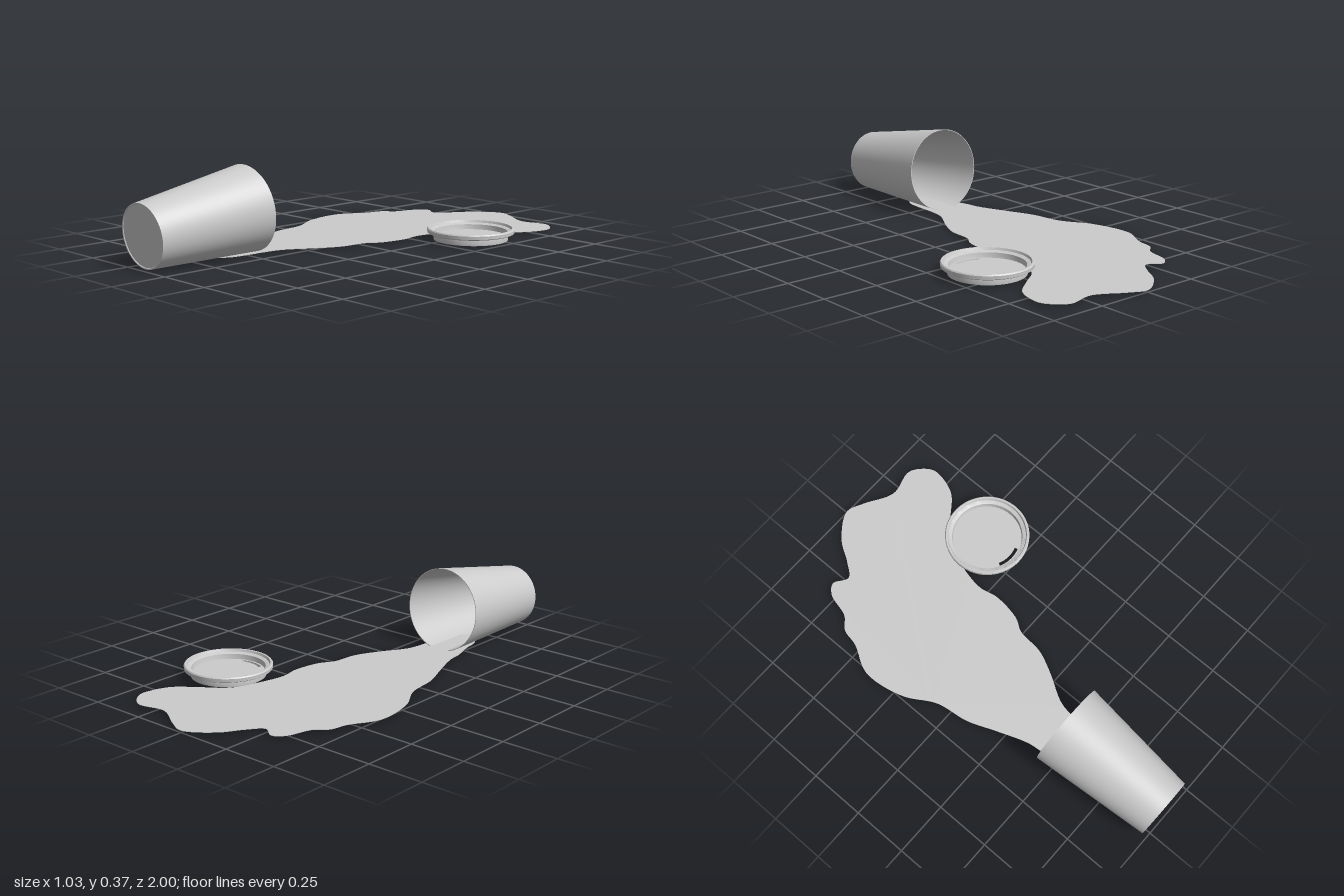
import * as THREE from 'three';
import { toCreasedNormals } from 'three/addons/utils/BufferGeometryUtils.js';

const grey = new THREE.MeshStandardMaterial({ color: 0xcccccc, side: THREE.DoubleSide });
const v2 = (list) => list.map(([x, y]) => new THREE.Vector2(x, y));

function add(parent, name, geometry) {
  const mesh = new THREE.Mesh(geometry, grey);
  mesh.name = name;
  parent.add(mesh);
  return mesh;
}

function lathe(profile) {
  return toCreasedNormals(new THREE.LatheGeometry(v2(profile), 64), 0.6);
}

// Flat shape laid on the ground plane: shape y becomes -z
function slab(shape, depth, curveSegments) {
  const geometry = new THREE.ExtrudeGeometry(shape, { depth, bevelEnabled: false, curveSegments });
  return toCreasedNormals(geometry.rotateX(-Math.PI / 2), 0.6);
}

export function createModel() {
  const model = new THREE.Group();
  model.name = 'spilledCup';

  // Thin-walled tapered cup lying on its side, mouth towards the back
  const cup = add(model, 'cup', lathe([
    [0, 0.004], [0.13, 0.003], [0.132, 0], [0.137, 0],
    [0.188, 0.541], [0.185, 0.541], [0.134, 0.007], [0, 0.007],
  ]));
  cup.position.set(-0.162, 0.139, 0.987);
  cup.rotation.x = -1.476;

  // Spilled liquid: wavy outline as x, z points, with a tongue under the cup
  const outline = [
    [-0.28, 0.42], [-0.29, 0.35], [-0.34, 0.21], [-0.39, 0.08], [-0.415, -0.07],
    [-0.49, -0.21], [-0.515, -0.4], [-0.45, -0.53], [-0.43, -0.61], [-0.38, -0.66],
    [-0.345, -0.77], [-0.3, -0.805], [-0.235, -0.77], [-0.18, -0.83], [-0.12, -0.92],
    [0, -1], [0.08, -0.97], [0.21, -0.9], [0.34, -0.92], [0.415, -0.85],
    [0.42, -0.8], [0.385, -0.7], [0.29, -0.62], [0.19, -0.54], [0.14, -0.4],
    [0.12, -0.29], [0.135, -0.2], [0.115, -0.07], [0.08, -0.01], [0.065, 0.11],
    [0.02, 0.21], [-0.055, 0.34], [-0.07, 0.42], [-0.075, 0.52], [-0.09, 0.61],
    [-0.16, 0.68], [-0.23, 0.61], [-0.25, 0.52],
  ];
  const curve = new THREE.CatmullRomCurve3(
    outline.map(([x, z]) => new THREE.Vector3(x, -z, 0)), true);
  const puddleShape = new THREE.Shape(
    curve.getPoints(240).slice(0, -1).map((p) => new THREE.Vector2(p.x, p.y)));
  add(model, 'puddle', slab(puddleShape, 0.002, 1)).position.y = 0.01;

  // Lid with a flared rim and a sunken floor
  const lid = new THREE.Group();
  lid.name = 'lid';
  lid.position.set(0.322, 0, -0.422);
  model.add(lid);
  add(lid, 'lidRim', lathe([
    [0.153, 0.008], [0.163, 0.008], [0.164, 0.012], [0.161, 0.034], [0.184, 0.036],
    [0.191, 0.04], [0.192, 0.055], [0.188, 0.06], [0.18, 0.06], [0.176, 0.05],
    [0.16, 0.044], [0.157, 0.022], [0.153, 0.008],
  ]));

  // Lid floor with a curved drinking slot near the front edge
  const floor = new THREE.Shape().absarc(0, 0, 0.158, 0, Math.PI * 2, false);
  const mid = -Math.PI / 2 - 0.06;
  const slot = new THREE.Path();
  slot.absarc(0, 0, 0.149, mid - 0.4, mid + 0.4, false);
  slot.absarc(0, 0, 0.134, mid + 0.4, mid - 0.4, true);
  floor.holes.push(slot);
  add(lid, 'lidFloor', slab(floor, 0.004, 32)).position.y = 0.018;

  return model;
}
